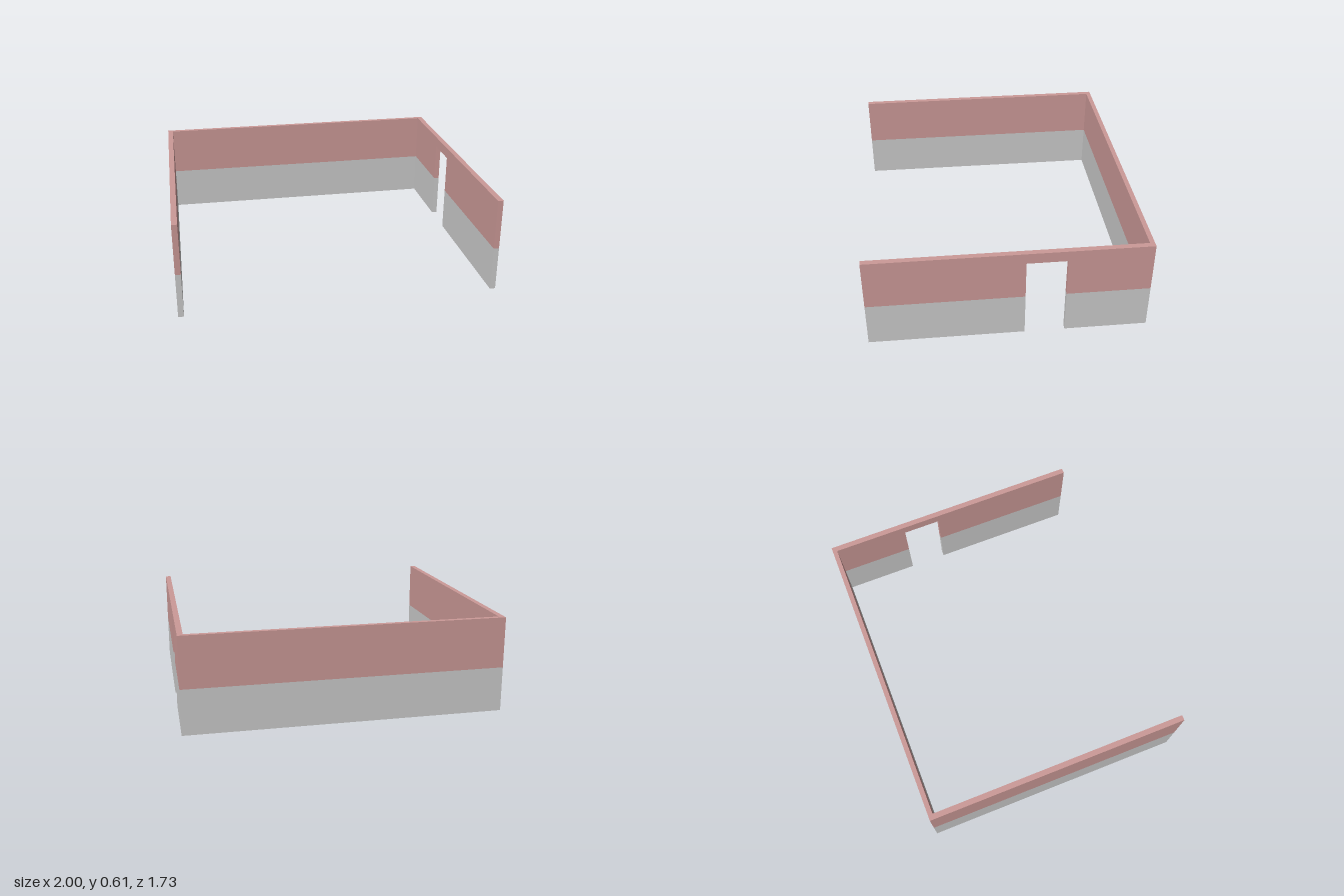
import * as THREE from 'three';

const HALF_X = 1, HALF_Z = 0.865, HEIGHT = 0.608, SPLIT = 0.285;
const SIDE_T = 0.035, BACK_T = 0.03;
const DOOR = { back: -0.347, front: -0.097, top: 0.538 };

const grey = new THREE.MeshStandardMaterial({ color: 0xcccccc });
const red = new THREE.MeshStandardMaterial({ color: 0xcc9a98 });

// Wall outline in (z, y), extruded across the thickness; outer face at x
function sideBand(name, outline, x, material) {
  const shape = new THREE.Shape(outline.map(([z, y]) => new THREE.Vector2(z, y)));
  const geometry = new THREE.ExtrudeGeometry(shape, { depth: SIDE_T, bevelEnabled: false });
  geometry.rotateY(-Math.PI / 2).translate(x, 0, 0);
  const mesh = new THREE.Mesh(geometry, material);
  mesh.name = name;
  return mesh;
}

const rect = (z0, z1, y0, y1) => [[z0, y0], [z1, y0], [z1, y1], [z0, y1]];

export function createModel() {
  const group = new THREE.Group();
  group.name = 'roomWalls';
  const innerBack = -HALF_Z + BACK_T;

  // Back wall: grey lower band, red upper band
  const backWall = new THREE.Group();
  backWall.name = 'backWall';
  for (const [name, y0, y1, material] of [
    ['backLowerBand', 0, SPLIT, grey],
    ['backUpperBand', SPLIT, HEIGHT, red],
  ]) {
    const mesh = new THREE.Mesh(new THREE.BoxGeometry(2 * HALF_X, y1 - y0, BACK_T), material);
    mesh.position.set(0, (y0 + y1) / 2, -HALF_Z + BACK_T / 2);
    mesh.name = name;
    backWall.add(mesh);
  }

  // Plain wall on the right
  const rightWall = new THREE.Group();
  rightWall.name = 'rightWall';
  const rightX = -HALF_X + SIDE_T;
  rightWall.add(
    sideBand('rightLowerBand', rect(innerBack, HALF_Z, 0, SPLIT), rightX, grey),
    sideBand('rightUpperBand', rect(innerBack, HALF_Z, SPLIT, HEIGHT), rightX, red),
  );

  // Wall on the left with a doorway; the upper band is notched around it
  const leftWall = new THREE.Group();
  leftWall.name = 'leftWallWithDoorway';
  leftWall.add(
    sideBand('leftLowerBandBack', rect(innerBack, DOOR.back, 0, SPLIT), HALF_X, grey),
    sideBand('leftLowerBandFront', rect(DOOR.front, HALF_Z, 0, SPLIT), HALF_X, grey),
    sideBand('leftUpperBand', [
      [innerBack, SPLIT], [DOOR.back, SPLIT], [DOOR.back, DOOR.top], [DOOR.front, DOOR.top],
      [DOOR.front, SPLIT], [HALF_Z, SPLIT], [HALF_Z, HEIGHT], [innerBack, HEIGHT],
    ], HALF_X, red),
  );

  group.add(backWall, rightWall, leftWall);
  return group;
}
